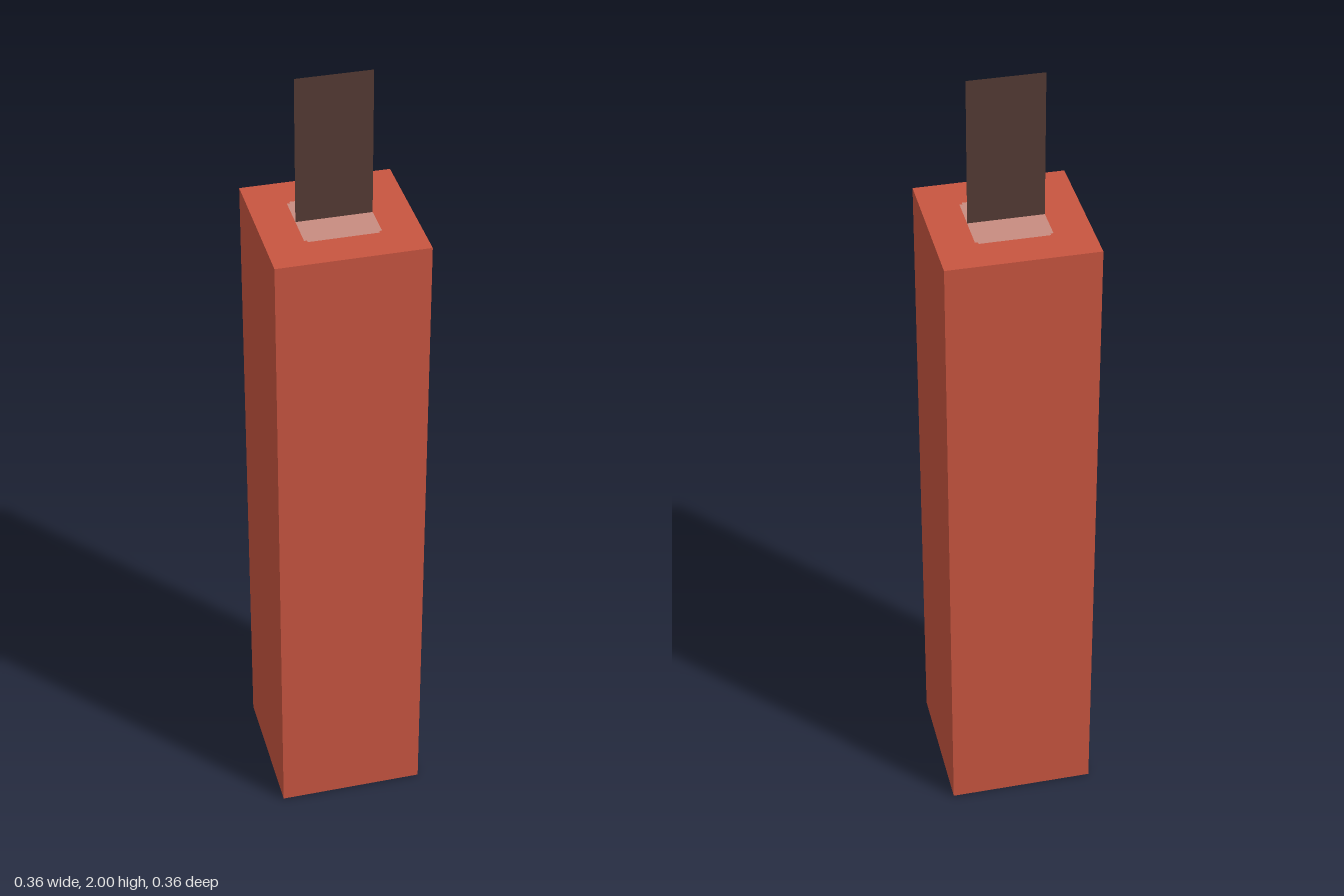
import * as THREE from 'three';

const WIDTH = 0.364, BODY_H = 1.636, TOTAL_H = 2, INSET = 0.001;

function material(name, color) {
  const m = new THREE.MeshStandardMaterial({ color });
  m.name = name;
  return m;
}

// Square with small stepped corners
function notchedSquare(half, notch) {
  const n = half - notch, points = [];
  for (let i = 0; i < 4; i++) {
    for (const [x, y] of [[half, -n], [half, n], [n, n]]) {
      points.push(new THREE.Vector2(x, y).rotateAround(new THREE.Vector2(), i * Math.PI / 2));
    }
  }
  return new THREE.Shape(points);
}

export function createModel() {
  const red = material('red wrapper', 0xc85540);
  const pink = material('pale pink cap', 0xc88c80);
  const brown = material('dark brown fuse', 0x543a34);
  const group = new THREE.Group();
  group.name = 'squareStick';

  function add(name, geometry, mat, y) {
    const mesh = new THREE.Mesh(geometry, mat);
    mesh.name = name;
    mesh.position.y = y;
    group.add(mesh);
    return mesh;
  }

  // Long square body
  const bodyH = BODY_H - 2 * INSET;
  add('body', new THREE.BoxGeometry(WIDTH, bodyH, WIDTH), red, BODY_H / 2);

  // Pale patches on both ends
  const patch = new THREE.ShapeGeometry(notchedSquare(0.091, 0.007));
  add('topPatch', patch, pink, BODY_H).rotation.x = -Math.PI / 2;
  add('bottomPatch', patch, pink, 0).rotation.x = Math.PI / 2;

  // Flat fuse, visible from both sides
  brown.side = THREE.DoubleSide;
  const fuseH = TOTAL_H - BODY_H;
  add('fuse', new THREE.PlaneGeometry(0.182, fuseH), brown, BODY_H + fuseH / 2);

  return group;
}
